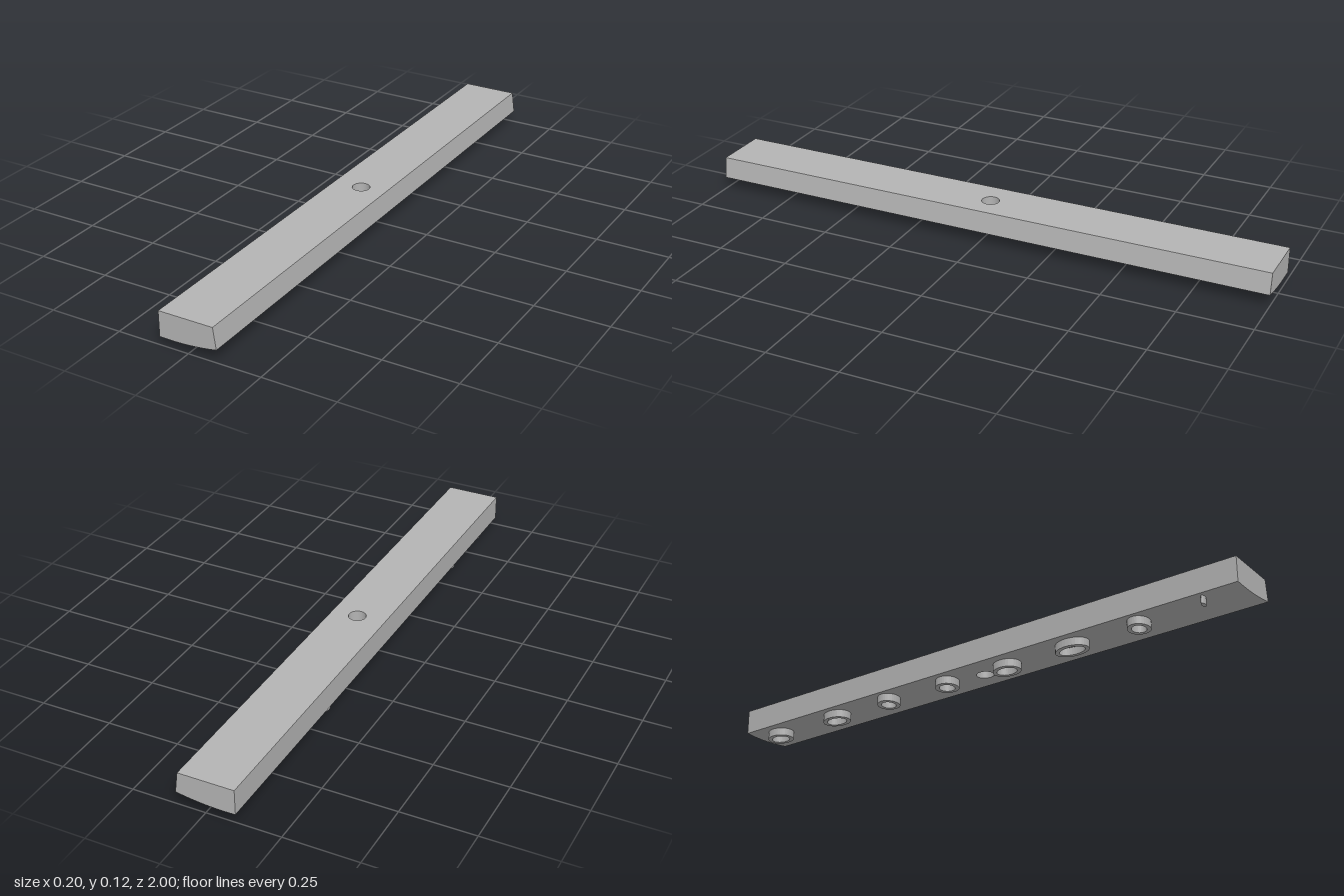
import * as THREE from 'three';

const HOLE = 0.03, TOP = 0.115, LEFT = -0.1, N = 8, STEPS = 6;

// Gently bowed underside
const underside = (x) => 0.027 + 0.6 * (x + 0.06) ** 2;

// Plan outline, N points per side; x of the +x edge varies with height
function outline(right) {
  const pts = [];
  const corners = [[right, -1], [right, 1], [LEFT, 1], [LEFT, -1]];
  corners.forEach(([x, z], s) => {
    const [x2, z2] = corners[(s + 1) % 4];
    for (let i = 0; i < N; i++) pts.push([x + (x2 - x) * i / N, z + (z2 - z) * i / N]);
  });
  return pts;
}

// Hole rim with matching point order
const holeRim = Array.from({ length: 4 * N }, (_, i) => {
  const a = -Math.PI / 4 + i * Math.PI / (2 * N);
  return [HOLE * Math.cos(a), HOLE * Math.sin(a)];
});

// Loop between the hole rim (t = 0) and an outline (t = 1)
const loopAt = (edge, t, height) => holeRim.map(([hx, hz], i) => {
  const x = hx + (edge[i][0] - hx) * t;
  return [x, height(x), hz + (edge[i][1] - hz) * t];
});

// Surface through a list of closed loops
function skin(loops, flat = false) {
  const n = loops[0].length, index = [];
  for (let j = 0; j < loops.length - 1; j++) {
    for (let i = 0; i < n; i++) {
      const k = (i + 1) % n;
      const a = j * n + i, b = j * n + k, c = a + n, d = b + n;
      index.push(a, b, c, b, d, c);
    }
  }
  let geo = new THREE.BufferGeometry();
  geo.setAttribute('position', new THREE.Float32BufferAttribute(loops.flat(2), 3));
  geo.setIndex(index);
  if (flat) geo = geo.toNonIndexed();
  geo.computeVertexNormals();
  return geo;
}

// Oval boss with an open centre, following the underside
function bossGeometry(x, z, rx, rz, wall) {
  const shape = new THREE.Shape();
  shape.absellipse(x, z, rx, rz, 0, Math.PI * 2);
  if (wall) {
    const hole = new THREE.Path();
    hole.absellipse(x, z, rx - wall, rz - wall, 0, Math.PI * 2, true);
    shape.holes.push(hole);
  }
  const geo = new THREE.ExtrudeGeometry(shape, { depth: 0.029, bevelEnabled: false, curveSegments: 16 });
  geo.rotateX(Math.PI / 2);
  const p = geo.attributes.position;
  for (let i = 0; i < p.count; i++) p.setY(i, Math.max(0, p.getY(i) + 0.002 + underside(p.getX(i))));
  geo.computeVertexNormals();
  return geo;
}

export function createModel() {
  const model = new THREE.Group();
  const grey = new THREE.MeshStandardMaterial({ color: 0xb4b4b4 });
  grey.name = 'plain grey';
  const add = (name, geo, parent) => {
    const mesh = new THREE.Mesh(geo, grey);
    mesh.name = name;
    parent.add(mesh);
  };

  // Long bar with a slanted +x side and a vertical through hole
  const bar = new THREE.Group();
  bar.name = 'bar';
  model.add(bar);
  const upper = outline(0.09), lower = outline(0.1);
  const flatTop = () => TOP;
  const bottomLoops = Array.from({ length: STEPS + 1 }, (_, j) => loopAt(lower, 1 - j / STEPS, underside));
  add('topFace', skin([loopAt(upper, 0, flatTop), loopAt(upper, 1, flatTop)]), bar);
  add('outerSides', skin([loopAt(upper, 1, flatTop), bottomLoops[0]], true), bar);
  add('underside', skin(bottomLoops), bar);
  add('throughHole', skin([bottomLoops[STEPS], loopAt(upper, 0, flatTop)]), bar);

  // Row of plain open bosses below: [x, z, half length]
  const bosses = new THREE.Group();
  bosses.name = 'undersideBosses';
  model.add(bosses);
  [
    [-0.045, 0.625, 0.037], [-0.035, 0.37, 0.06], [-0.03, 0.11, 0.05], [-0.04, -0.13, 0.04],
    [-0.045, -0.38, 0.038], [-0.04, -0.62, 0.052], [-0.035, -0.893, 0.048],
  ].forEach(([x, z, rz]) => add('boss', bossGeometry(x, z, 0.042, rz, 0.014), bosses));

  // Small solid peg near the front end
  add('peg', bossGeometry(-0.073, 0.868, 0.013, 0.007, 0), bosses);

  return model;
}
